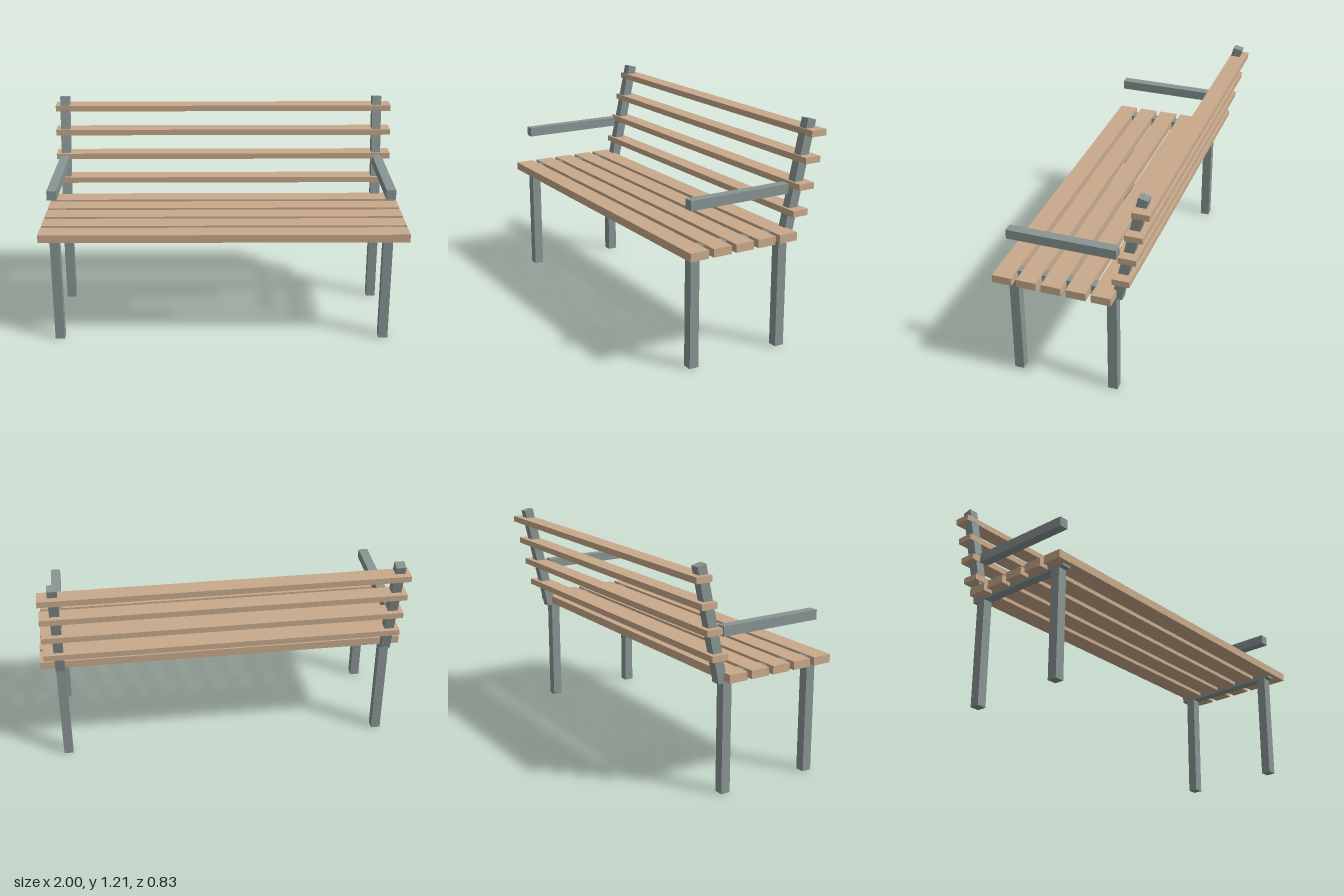
import * as THREE from 'three';

export function createModel() {
  const wood = new THREE.MeshStandardMaterial({ name: 'wood', color: 0xc9aa8c });
  const metal = new THREE.MeshStandardMaterial({ name: 'greyMetal', color: 0x889593 });
  const bench = new THREE.Group();
  bench.name = 'bench';

  const box = (parent, name, material, size, position) => {
    const mesh = new THREE.Mesh(new THREE.BoxGeometry(...size), material);
    mesh.name = name;
    mesh.position.set(...position);
    parent.add(mesh);
    return mesh;
  };

  const bar = 0.052; // square section of the frame

  // Side frames: legs, seat rail, armrest and leaning back post
  for (const [side, x] of [['right', -0.919], ['left', 0.891]]) {
    const frame = new THREE.Group();
    frame.name = side + 'Frame';
    frame.position.x = x;
    bench.add(frame);

    box(frame, 'frontLeg', metal, [bar, 0.592, bar], [0, 0.296, 0.334]);
    box(frame, 'backLeg', metal, [bar, 0.592, bar], [0, 0.296, -0.2]);
    box(frame, 'seatRail', metal, [bar, bar, 0.643], [0, 0.618, 0.066]);
    box(frame, 'armrest', metal, [bar, bar, 0.587], [0, 0.856, 0.067]);

    const [y0, z0, y1, z1] = [0.605, -0.229, 1.201, -0.362];
    const post = box(frame, 'backPost', metal,
      [bar, Math.hypot(y1 - y0, z1 - z0), bar], [0, (y0 + y1) / 2, (z0 + z1) / 2]);
    post.rotation.x = Math.atan2(z1 - z0, y1 - y0);
  }

  // Seat slats
  for (let i = 0; i < 5; i++) {
    box(bench, 'seatSlat', wood, [2, 0.044, 0.106], [0, 0.627, 0.361 - i * 0.1333]);
  }

  // Back slats, level and stepped back along the posts
  for (let i = 0; i < 4; i++) {
    box(bench, 'backSlat', wood, [1.944, 0.033, 0.092], [0, 0.734 + i * 0.1347, -0.266 - i * 0.0334]);
  }

  return bench;
}
